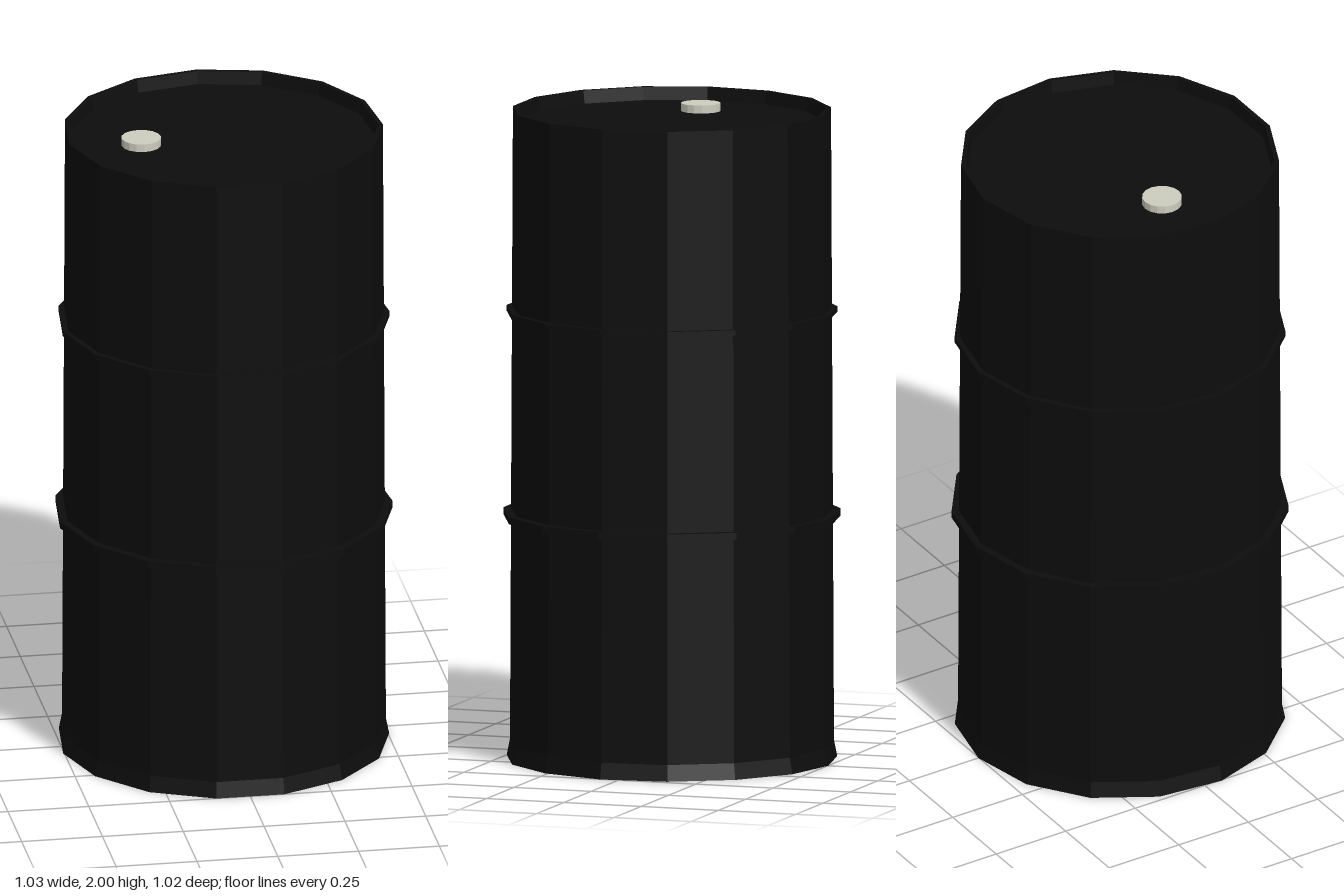
import * as THREE from 'three';

const SIDES = 15;
const black = new THREE.MeshStandardMaterial({ color: 0x0d0d0d, flatShading: true });
const pale = new THREE.MeshStandardMaterial({ color: 0xccccbf, flatShading: true });

// Turned part with one corner pointing straight back
function turned(name, profile) {
  const points = profile.map(([r, y]) => new THREE.Vector2(r, y));
  const mesh = new THREE.Mesh(new THREE.LatheGeometry(points, SIDES, Math.PI, Math.PI * 2), black);
  mesh.name = name;
  return mesh;
}

export function createModel() {
  const group = new THREE.Group();
  group.name = 'barrel';

  // Shell: closed bottom, flared foot, slightly tapered wall, rim and sunken lid
  const drum = new THREE.Group();
  drum.name = 'drum';
  drum.position.z = 0.005;
  drum.add(turned('shell', [
    [0, 0], [0.507, 0], [0.497, 0.05], [0.488, 2], [0.474, 2], [0.468, 1.96], [0, 1.96],
  ]));

  // Two thin hoops around the wall
  for (const [name, y, r, h] of [['lowerHoop', 0.752, 0.517, 0.022], ['upperHoop', 1.378, 0.508, 0.016]]) {
    drum.add(turned(name, [[0.48, y - h / 2], [r, y - h / 2], [r, y + h / 2], [0.48, y + h / 2]]));
  }
  group.add(drum);

  // Filler cap sitting on the lid
  const cap = new THREE.Mesh(new THREE.CylinderGeometry(0.061, 0.061, 0.033, 16), pale);
  cap.name = 'fillerCap';
  cap.position.set(-0.253, 1.968, 0);
  group.add(cap);

  return group;
}
